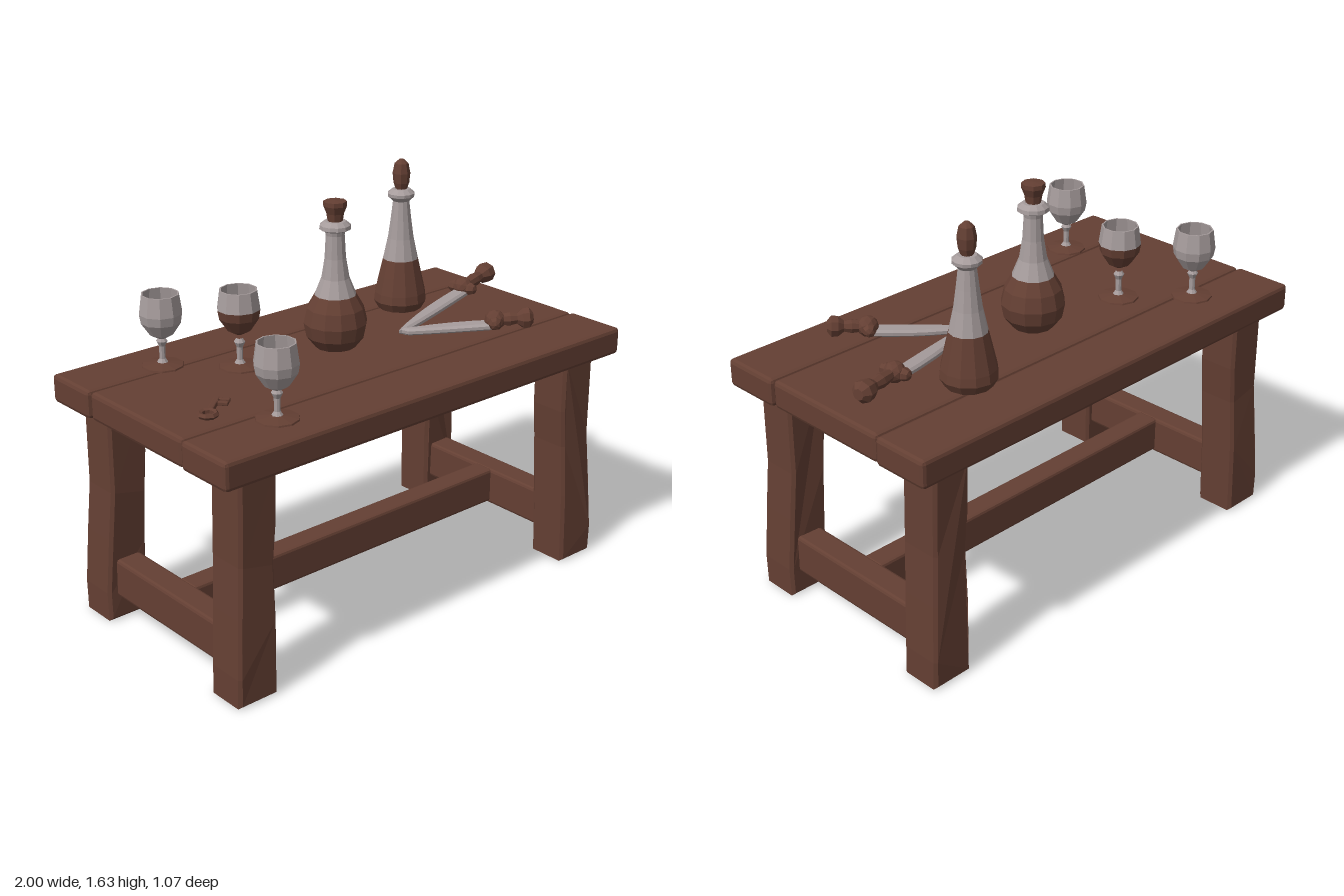
import * as THREE from 'three';
import { RoundedBoxGeometry } from 'three/addons/geometries/RoundedBoxGeometry.js';

const wood = new THREE.MeshStandardMaterial({ color: 0x643f33, flatShading: true });
wood.name = 'brown';
const glass = new THREE.MeshStandardMaterial({ color: 0xa69c9c, flatShading: true });
glass.name = 'grey';

function add(parent, name, geometry, material, x = 0, y = 0, z = 0) {
  const mesh = new THREE.Mesh(geometry, material);
  mesh.name = name;
  mesh.position.set(x, y, z);
  parent.add(mesh);
  return mesh;
}

const lathe = (points, sides = 10) =>
  new THREE.LatheGeometry(points.map(([r, y]) => new THREE.Vector2(r, y)), sides);

// Beam with bevelled edges
const beam = (w, h, d, r = 0.012) => new RoundedBoxGeometry(w, h, d, 1, r);

// Rough-hewn leg: a wavy outline extruded with a bevel, leaning slightly outward
function legGeometry(sx, sz) {
  const outline = [
    [0.76, 0], [0.935, 0], [0.935, 0.12], [0.92, 0.35], [0.905, 0.55], [0.9, 0.9],
    [0.735, 0.9], [0.738, 0.68], [0.752, 0.52], [0.755, 0.3],
  ];
  const shape = new THREE.Shape(outline.map(([x, y]) => new THREE.Vector2(x * sx, y)));
  const bevel = 0.012;
  const g = new THREE.ExtrudeGeometry(shape, {
    depth: 0.17 - 2 * bevel, bevelEnabled: true, bevelSegments: 1,
    bevelSize: bevel, bevelThickness: bevel, bevelOffset: -bevel,
  });
  g.translate(0, 0, -0.085 + bevel);
  const p = g.attributes.position;
  for (let i = 0; i < p.count; i++) {
    const y = p.getY(i);
    p.setZ(i, p.getZ(i) + sz * (0.412 - 0.02 * y + 0.006 * Math.sin(y * 9)));
  }
  g.computeVertexNormals();
  return g;
}

function buildTable() {
  const table = new THREE.Group();
  table.name = 'table';
  // Three top planks
  [[-0.535, -0.291, 'backPlank'], [-0.289, 0.279, 'middlePlank'], [0.281, 0.535, 'frontPlank']]
    .forEach(([z0, z1, name], i) => {
      const d = z1 - z0;
      add(table, name, beam(i === 1 ? 1.98 : 1.995, 0.112, d, 0.016), wood, 0, 0.943, (z0 + z1) / 2);
    });
  // Legs and end rails
  for (const sx of [-1, 1]) {
    for (const sz of [-1, 1]) {
      add(table, (sz > 0 ? 'front' : 'back') + (sx > 0 ? 'Left' : 'Right') + 'Leg', legGeometry(sx, sz), wood);
    }
    add(table, sx > 0 ? 'leftEndRail' : 'rightEndRail', beam(0.11, 0.16, 0.68), wood, sx * 0.84, 0.18, 0);
  }
  // Long stretcher between the end rails
  add(table, 'stretcher', beam(1.6, 0.15, 0.1), wood, 0, 0.185, 0);
  return table;
}

// Decanter: dark liquid below, clear glass neck above, stopper on top
function buildBottle(name, x, z, liquid, neck, stopper) {
  const bottle = new THREE.Group();
  bottle.name = name;
  bottle.position.set(x, 1, z);
  add(bottle, 'filledBody', lathe(liquid, 12), wood);
  add(bottle, 'neck', lathe(neck, 12), glass);
  add(bottle, 'stopper', lathe(stopper, 8), wood);
  return bottle;
}

// Goblet with wine inside, on a dark foot
function buildGoblet(name, x, z, top, filled) {
  const goblet = new THREE.Group();
  goblet.name = name;
  goblet.position.set(x, 1, z);
  add(goblet, 'foot', lathe([[0.0, 0], [0.082, 0], [0.08, 0.006], [0.03, 0.014], [0, 0.02]]), wood);
  add(goblet, 'stem', lathe([[0.024, 0.012], [0.012, 0.03], [0.012, 0.08], [0.022, 0.1], [0.012, 0.115]], 8), glass);
  const b = top - 0.18;
  const outer = [[0.008, b], [0.045, b + 0.02], [0.078, b + 0.07], [0.084, b + 0.105]];
  add(goblet, 'lowerBowl', lathe(outer), filled ? wood : glass);
  add(goblet, 'rim', lathe([[0.084, b + 0.105], [0.073, b + 0.18], [0.067, b + 0.18], [0.077, b + 0.105]]), glass);
  add(goblet, 'wine', lathe([[0.08, b + 0.108], [0, b + 0.112]]), wood);
  return goblet;
}

// Dagger along +x from its tip, with a gently curved blade
function buildDagger(name, tip, end, bladeLength) {
  const dagger = new THREE.Group();
  dagger.name = name;
  const dx = end[0] - tip[0], dz = end[1] - tip[1];
  const length = Math.hypot(dx, dz), grip = length - bladeLength;
  dagger.position.set(tip[0], 1.022, tip[1]);
  dagger.rotation.set(0, Math.atan2(-dz, dx), 0.055, 'YXZ');

  const L = bladeLength;
  const blade = new THREE.Shape();
  blade.moveTo(0, 0);
  blade.quadraticCurveTo(L * 0.45, -0.045, L, -0.032);
  blade.lineTo(L, 0.032);
  blade.quadraticCurveTo(L * 0.4, 0.035, 0.03, 0.026);
  blade.closePath();
  const bladeGeometry = new THREE.ExtrudeGeometry(blade, {
    depth: 0.012, curveSegments: 5, bevelEnabled: true, bevelSegments: 1,
    bevelSize: 0.01, bevelThickness: 0.008, bevelOffset: -0.01,
  });
  bladeGeometry.rotateX(Math.PI / 2);
  add(dagger, 'blade', bladeGeometry, glass, 0, 0.01, 0);

  const guard = new THREE.CapsuleGeometry(0.026, 0.08, 2, 7);
  guard.rotateX(Math.PI / 2);
  add(dagger, 'guard', guard, wood, L + 0.01, 0.022, 0);
  add(dagger, 'collar', new THREE.IcosahedronGeometry(0.042, 1), wood, L + 0.015, 0.024, 0);
  const handle = lathe([
    [0, 0], [0.034, 0], [0.022, grip * 0.2], [0.028, grip * 0.45], [0.022, grip * 0.62],
    [0.04, grip * 0.75], [0.043, grip * 0.9], [0.022, grip], [0, grip],
  ], 8);
  handle.rotateZ(-Math.PI / 2);
  add(dagger, 'handle', handle, wood, L, 0.024, 0);
  return dagger;
}

// Small flat key lying on the right-hand end of the table
function buildKey() {
  const key = new THREE.Group();
  key.name = 'key';
  key.position.set(-0.76, 1.01, 0.145);
  key.rotation.y = 0.7;
  const bow = new THREE.TorusGeometry(0.03, 0.011, 5, 8);
  bow.rotateX(Math.PI / 2);
  add(key, 'bow', bow, wood, -0.055, 0, 0);
  add(key, 'shaft', beam(0.12, 0.02, 0.024, 0.005), wood, 0.03, 0, 0);
  for (const x of [0.05, 0.08]) add(key, 'bit', beam(0.018, 0.016, 0.05, 0.004), wood, x, 0, 0.025);
  return key;
}

export function createModel() {
  const model = new THREE.Group();
  model.name = 'laidTable';
  model.add(buildTable());

  model.add(buildBottle('roundBottle', 0, -0.065,
    [[0, 0], [0.08, 0], [0.115, 0.045], [0.126, 0.1], [0.112, 0.16], [0.082, 0.212]],
    [[0.082, 0.212], [0.055, 0.28], [0.042, 0.36], [0.037, 0.45], [0.04, 0.465],
      [0.062, 0.475], [0.06, 0.49], [0.042, 0.505], [0, 0.505]],
    [[0.028, 0.5], [0.034, 0.535], [0.046, 0.565], [0.045, 0.582], [0, 0.586]]));

  model.add(buildBottle('conicalBottle', 0.505, -0.24,
    [[0, 0], [0.09, 0], [0.11, 0.035], [0.106, 0.07], [0.09, 0.14], [0.073, 0.212]],
    [[0.073, 0.212], [0.054, 0.3], [0.043, 0.38], [0.034, 0.455], [0.055, 0.475],
      [0.056, 0.488], [0.036, 0.505], [0, 0.505]],
    [[0.022, 0.5], [0.032, 0.53], [0.036, 0.57], [0.028, 0.61], [0.01, 0.626], [0, 0.627]]));

  model.add(buildGoblet('backGoblet', -0.635, -0.33, 0.288, false));
  model.add(buildGoblet('middleGoblet', -0.42, -0.13, 0.308, true));
  model.add(buildGoblet('frontGoblet', -0.63, 0.355, 0.288, false));

  model.add(buildDagger('longDagger', [0.24, 0.04], [0.945, -0.15], 0.49));
  model.add(buildDagger('shortDagger', [0.25, 0.04], [0.665, 0.365], 0.36));
  model.add(buildKey());
  return model;
}
